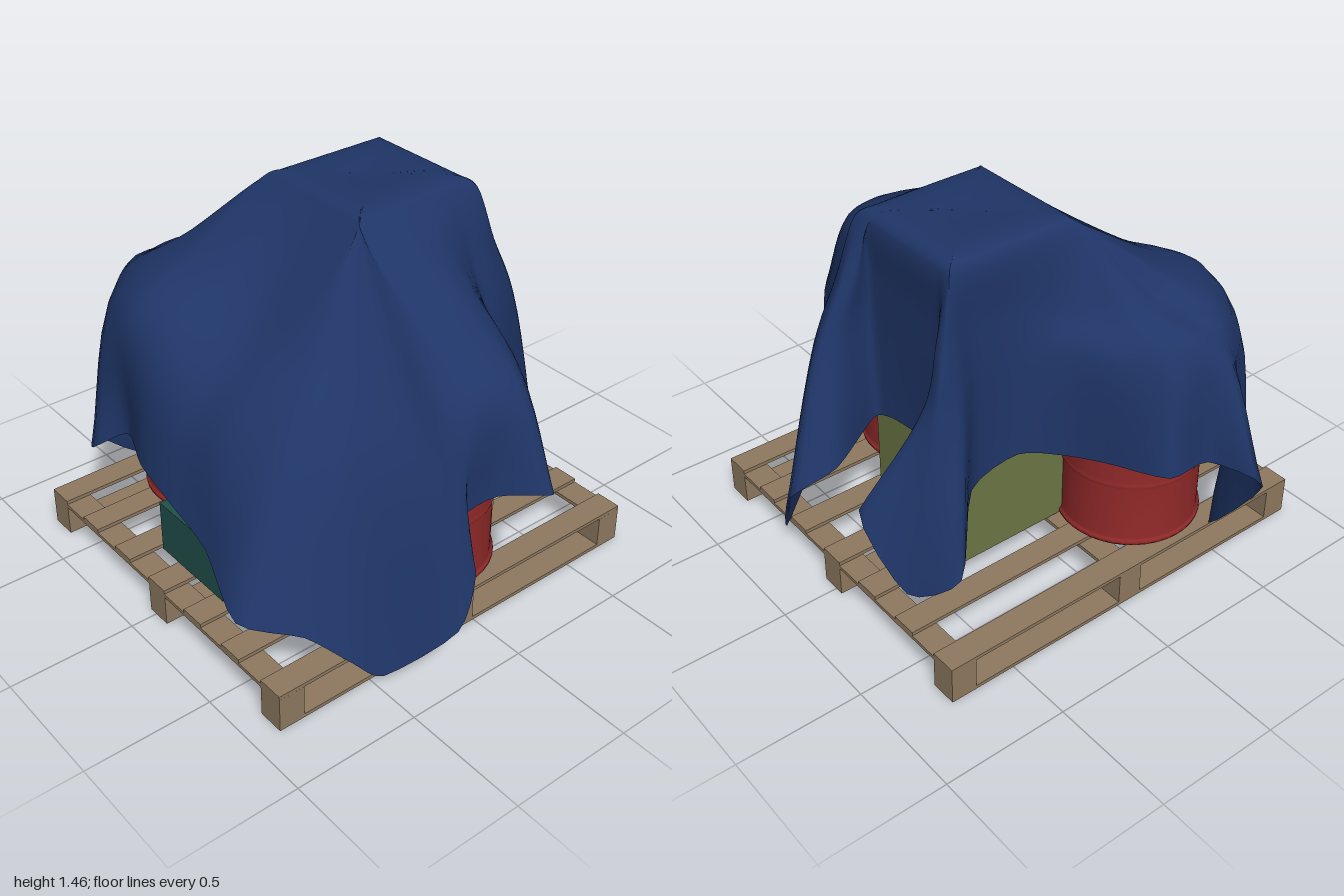
import * as THREE from 'three';
import { mergeVertices } from 'three/addons/utils/BufferGeometryUtils.js';

const paint = (name, color, extra = {}) => {
  const m = new THREE.MeshStandardMaterial({ color, ...extra });
  m.name = name;
  return m;
};

export function createModel() {
  const wood = paint('wood', 0x8f7a60);
  const red = paint('barrelRed', 0x922929);
  const green = paint('oliveGreen', 0x6c7744);
  const teal = paint('teal', 0x20504a);
  const stain = paint('stain', 0x8d8873);
  const blue = paint('tarpBlue', 0x1f3567, { side: THREE.DoubleSide });
  const root = new THREE.Group();

  const add = (name, geometry, material, parent = root) => {
    const mesh = new THREE.Mesh(geometry, material);
    mesh.name = name;
    parent.add(mesh);
    return mesh;
  };
  // Box given by its lower and upper corners
  const box = (name, material, a, b, parent) => {
    const g = new THREE.BoxGeometry(b[0] - a[0], b[1] - a[1], b[2] - a[2]);
    g.translate((a[0] + b[0]) / 2, (a[1] + b[1]) / 2, (a[2] + b[2]) / 2);
    return add(name, g, material, parent);
  };

  // Pallet: slats on cross boards, blocks and bottom runners
  const pallet = new THREE.Group();
  pallet.name = 'pallet';
  root.add(pallet);
  const W = 0.105, xs = [-0.893, -0.11, 0.667], zs = [-0.73, -0.035, 0.658];
  for (let i = 0; i < 7; i++) {
    const z = -0.73 + i * 0.2313;
    box('topSlat', wood, [-0.893, 0.14, z], [0.772, 0.155, z + W], pallet);
  }
  for (const x of xs) {
    box('crossBoard', wood, [x, 0.125, -0.73], [x + W, 0.14, 0.763], pallet);
    for (const z of zs) box('block', wood, [x, 0.015, z], [x + W, 0.125, z + W], pallet);
  }
  for (const z of zs) box('runner', wood, [-0.893, 0, z], [0.772, 0.015, z + W], pallet);

  // Crates
  box('tallCrate', green, [-0.07, 0.155, -0.32], [0.43, 1.41, 0.18]);
  box('smallCrate', green, [-0.6, 0.155, 0.27], [-0.32, 0.31, 0.61]);
  box('tealCrate', teal, [-0.76, 0.155, -0.14], [-0.35, 0.37, 0.25]);

  // Barrels with rims and rolled ribs
  const profile = [[0, 0.155], [0.28, 0.155], [0.282, 0.165], [0.28, 0.175], [0.27, 0.18]];
  for (const y of [0.41, 0.7]) profile.push([0.27, y], [0.274, y + 0.012], [0.274, y + 0.022], [0.27, y + 0.034]);
  profile.push([0.27, 0.95], [0.28, 0.955], [0.28, 0.975], [0.265, 0.975], [0.262, 0.96], [0, 0.96]);
  const barrelShape = new THREE.LatheGeometry(profile.map(p => new THREE.Vector2(...p)), 40);
  add('frontBarrel', barrelShape, red).position.set(0, 0, 0.45);
  add('backBarrel', barrelShape, red).position.set(-0.32, 0, -0.42);
  add('barrelStain', new THREE.CylinderGeometry(0.277, 0.277, 0.24, 6, 1, true, 0.48, 0.11), stain)
    .position.set(0, 0.53, 0.45);

  // Tarp: the shoulder is where the sheet turns down, the hem is its free edge
  const shoulder = [
    [0.46, 1, -0.08], [0.46, 1, 0.02], [0.47, 1, 0.13], [0.6, 1, 0.12], [0.69, 0.95, 0.16],
    [0.62, 0.93, 0.27], [0.48, 0.9, 0.37], [0.35, 0.87, 0.47], [0.28, 0.91, 0.59], [0.19, 1, 0.73],
    [0.1, 1.03, 0.82], [0, 1.03, 0.83], [-0.12, 1.02, 0.81], [-0.2, 0.97, 0.78], [-0.27, 0.88, 0.74],
    [-0.38, 0.8, 0.66], [-0.46, 0.77, 0.58], [-0.55, 0.76, 0.5], [-0.62, 0.78, 0.4], [-0.67, 0.8, 0.2],
    [-0.66, 0.85, 0.02], [-0.69, 1, -0.19], [-0.7, 1.04, -0.36], [-0.65, 1.04, -0.52], [-0.56, 1.03, -0.65],
    [-0.47, 1.03, -0.73], [-0.4, 1.03, -0.75], [-0.3, 1.04, -0.75], [-0.18, 1.02, -0.72], [-0.06, 0.99, -0.6],
    [0.04, 1, -0.47], [0.2, 1, -0.38], [0.38, 1, -0.37], [0.48, 0.95, -0.42], [0.57, 0.95, -0.4],
    [0.57, 0.95, -0.33], [0.47, 1, -0.28], [0.46, 1, -0.2],
  ];
  const hem = [
    [0.46, 0.66, -0.1], [0.47, 0.65, 0.03], [0.5, 0.62, 0.1], [0.73, 0.56, 0], [0.89, 0.45, 0.08],
    [0.81, 0.15, 0.27], [0.6, 0.23, 0.42], [0.42, 0.32, 0.56], [0.28, 0.43, 0.73], [0.2, 0.58, 0.9],
    [0.1, 0.66, 1], [-0.04, 0.65, 0.88], [-0.19, 0.62, 0.87], [-0.17, 0.42, 0.93], [-0.28, 0.24, 0.97],
    [-0.49, 0.06, 0.83], [-0.59, 0.14, 0.78], [-0.72, 0.26, 0.68], [-0.89, 0.31, 0.52], [-0.82, 0.42, 0.25],
    [-0.8, 0.46, 0.03], [-0.79, 0.52, -0.2], [-0.73, 0.54, -0.38], [-0.82, 0.45, -0.5], [-0.7, 0.35, -0.68],
    [-0.46, 0.16, -0.73], [-0.42, 0.53, -1], [-0.32, 0.58, -0.82], [-0.12, 0.61, -0.83], [-0.03, 0.58, -0.6],
    [0.06, 0.58, -0.47], [0.22, 0.62, -0.4], [0.42, 0.55, -0.39], [0.62, 0.38, -0.59], [0.74, 0.27, -0.43],
    [0.81, 0.58, -0.26], [0.5, 0.63, -0.27], [0.46, 0.66, -0.2],
  ];
  const rows = 30, cols = hem.length * 4;
  const centre = new THREE.Vector3(0.18, 1.45, -0.065);
  const strips = hem.map((h, i) => {
    const s = new THREE.Vector3(...shoulder[i]);
    const edge = new THREE.Vector3(
      THREE.MathUtils.clamp(s.x, -0.09, 0.455), 1.43, THREE.MathUtils.clamp(s.z, -0.335, 0.195));
    const inner = centre.clone().lerp(edge, 0.88).setY(1.45);
    // The sheet sags most between the tall crate and the back barrel
    const middle = edge.clone().lerp(s, 0.5);
    middle.y -= i >= 25 && i <= 30 ? 0.07 : i >= 13 && i <= 24 ? 0.01 : 0;
    edge.lerp(s, 0.03);
    return new THREE.CatmullRomCurve3(
      [centre, inner, edge, middle, s, new THREE.Vector3(...h)]).getPoints(rows);
  });
  const pos = [], index = [];
  for (let r = 0; r <= rows; r++) {
    const ring = new THREE.CatmullRomCurve3(strips.map(p => p[r]), true, 'catmullrom', 0.35);
    for (let c = 0; c < cols; c++) pos.push(...ring.getPoint(c / cols).toArray());
  }
  for (let r = 0; r < rows; r++) {
    for (let c = 0; c < cols; c++) {
      const a = r * cols + c, b = r * cols + (c + 1) % cols;
      index.push(a, b, a + cols, b, b + cols, a + cols);
    }
  }
  let sheet = new THREE.BufferGeometry();
  sheet.setAttribute('position', new THREE.Float32BufferAttribute(pos, 3));
  sheet.setIndex(index);
  sheet = mergeVertices(sheet, 1e-4);
  sheet.computeVertexNormals();
  add('tarp', sheet, blue);

  return root;
}
